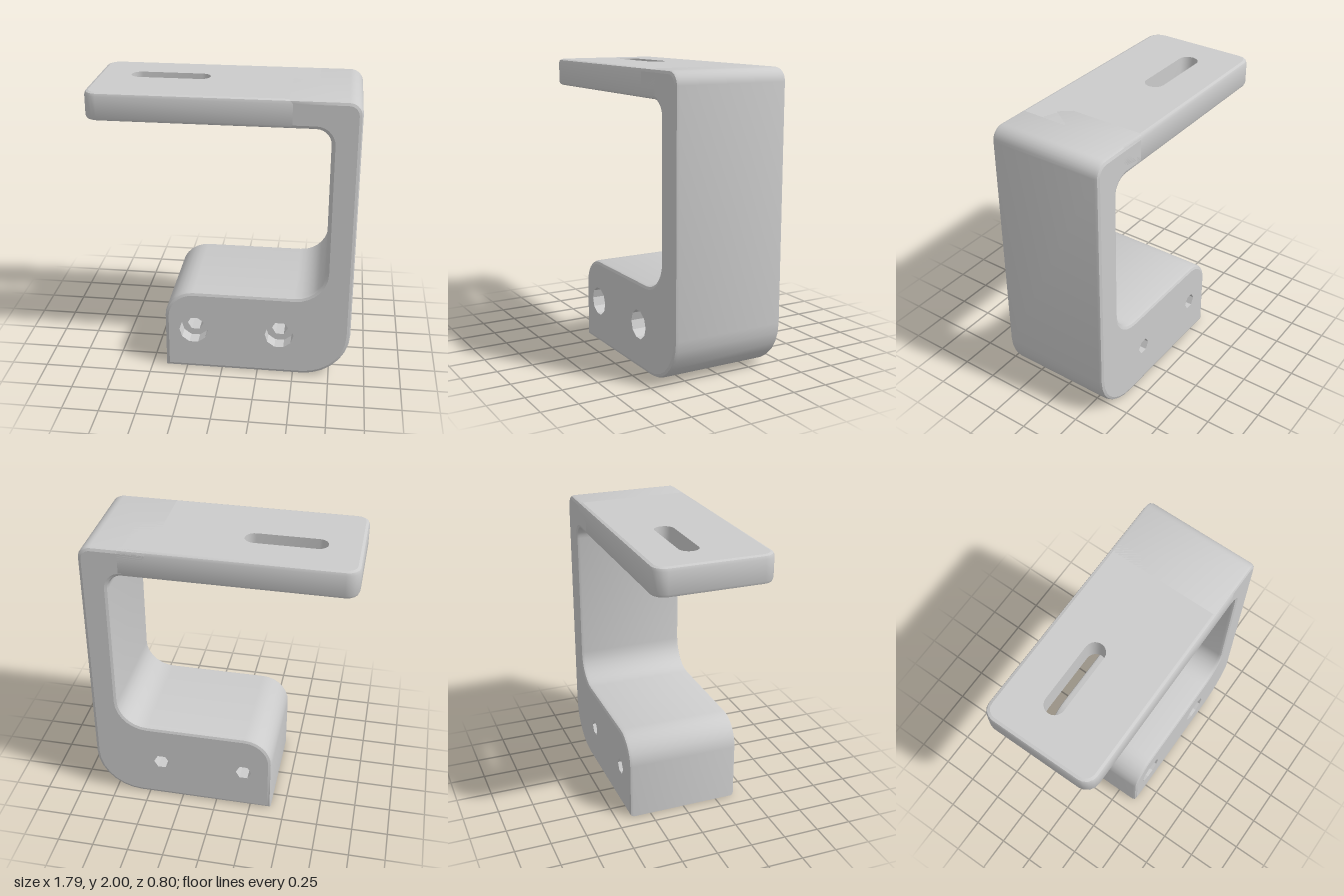
import * as THREE from 'three';
import { toCreasedNormals } from 'three/addons/utils/BufferGeometryUtils.js';

const B = 0.025; // edge bevel
const mat = new THREE.MeshStandardMaterial({ color: 0xcccccc, side: THREE.DoubleSide });

// Polygon with rounded right-angle corners, given as [x, y, radius]
function rounded(corners, steps = 7) {
  const out = [];
  corners.forEach(([x, y, r], i) => {
    const p = new THREE.Vector2(x, y);
    if (!r) return out.push(p);
    const n = corners.length;
    const a = new THREE.Vector2(...corners[(i + n - 1) % n]).sub(p).normalize();
    const c = new THREE.Vector2(...corners[(i + 1) % n]).sub(p).normalize();
    for (let k = 0; k <= steps; k++) {
      const t = (k / steps) * Math.PI / 2;
      out.push(p.clone().addScaledVector(a, r * (1 - Math.sin(t))).addScaledVector(c, r * (1 - Math.cos(t))));
    }
  });
  return out;
}

function circle(cx, cy, r, sides) {
  return Array.from({ length: sides }, (_, i) => {
    const t = (i / sides) * Math.PI * 2;
    return new THREE.Vector2(cx + r * Math.cos(t), cy + r * Math.sin(t));
  });
}

// Extruded wall centred on z = 0, without its end caps; drop() removes further triangles
function wall(pts, length, bevel = 0, drop = () => false) {
  const geo = new THREE.ExtrudeGeometry(new THREE.Shape(pts), {
    depth: length - 2 * bevel, bevelEnabled: bevel > 0,
    bevelSize: bevel, bevelThickness: bevel, bevelSegments: 2,
  }).translate(0, 0, bevel - length / 2);
  const pos = geo.attributes.position, kept = [];
  for (let i = 0; i < pos.count; i += 3) {
    const tri = [0, 1, 2].map((k) => new THREE.Vector3().fromBufferAttribute(pos, i + k));
    const cap = [1, -1].some((s) => tri.every((v) => Math.abs(v.z - s * length / 2) < 1e-4));
    if (!cap && !tri.every(drop)) tri.forEach((v) => kept.push(v.x, v.y, v.z));
  }
  const open = new THREE.BufferGeometry();
  open.setAttribute('position', new THREE.Float32BufferAttribute(kept, 3));
  return toCreasedNormals(open, 0.6);
}

// Flat face with holes
function face(pts, holes = []) {
  const shape = new THREE.Shape(pts);
  shape.holes = holes.map((h) => new THREE.Path(h));
  return new THREE.ShapeGeometry(shape);
}

export function createModel() {
  const model = new THREE.Group();
  const add = (name, geo, x = 0, y = 0, z = 0) => {
    const mesh = new THREE.Mesh(geo, mat);
    mesh.name = name;
    mesh.position.set(x, y, z);
    model.add(mesh);
  };
  const lay = (geo) => geo.rotateX(-Math.PI / 2); // shape y becomes -z

  // Base and column: one bent profile, open underneath for the bottom holes
  const profile = rounded([
    [-0.4 + B, B, 0], [0.89 - B, B, 0.33 - B], [0.89 - B, 2 - B, 0.09 - B],
    [0.45, 2 - B, 0], [0.45, 1.81 + B, 0], [0.7 + B, 1.81 + B, 0.1 + B],
    [0.7 + B, 0.6 - B, 0.2 + B], [-0.4 + B, 0.6 - B, 0.2 - B],
  ]);
  add('baseAndColumn', wall(profile, 0.8, B, (v) => Math.abs(v.y) < 1e-4));

  // Front and back faces with counterbored screw holes
  const xs = [-0.2, 0.4], bore = 0.1, pin = 0.056, boreDepth = 0.1;
  add('frontFace', face(profile, xs.map((x) => circle(x, 0.305, bore, 10))), 0, 0, 0.4);
  add('backFace', face(profile, xs.map((x) => circle(x, 0.305, pin, 6))).scale(1, 1, 1), 0, 0, -0.4);
  for (const x of xs) {
    add('counterbore', wall(circle(x, 0.305, bore, 10), boreDepth), 0, 0, 0.4 - boreDepth / 2);
    add('counterboreFloor', face(circle(x, 0.305, bore, 10), [circle(x, 0.305, pin, 6)]), 0, 0, 0.4 - boreDepth);
    add('screwHole', wall(circle(x, 0.305, pin, 6), 0.8 - boreDepth), 0, 0, -boreDepth / 2);
  }

  // Underside with two blind holes
  const zs = [-0.2, 0.2], holeDepth = 0.4, h = 0.4 - B;
  const x1 = 0.56;
  const bottom = rounded([[-0.4, -h, 0], [x1, -h, 0], [x1, h, 0], [-0.4, h, 0]]);
  add('underside', lay(face(bottom, zs.map((z) => circle(0.1, z, 0.08, 12)))));
  for (const z of zs) {
    add('bottomHole', lay(wall(circle(0.1, z, 0.08, 12), holeDepth)), 0, holeDepth / 2, 0);
    add('bottomHoleEnd', lay(face(circle(0.1, z, 0.08, 12))), 0, holeDepth, 0);
  }

  // Top arm with a long slot
  const armHeight = 0.19, r = 0.09 - B;
  const arm = rounded([[-0.9 + B, -h, r], [0.6, -h, 0], [0.6, h, 0], [-0.9 + B, h, r]], 4);
  const slot = rounded([
    [-0.67, 0, 0.066], [-0.13, 0, 0.066], [-0.13, 0.134, 0.066], [-0.67, 0.134, 0.066],
  ], 5);
  add('arm', lay(wall(arm, armHeight, B)), 0, 2 - armHeight / 2, 0);
  add('armTop', lay(face(arm, [slot])), 0, 2, 0);
  add('armUnderside', lay(face(arm, [slot])), 0, 2 - armHeight, 0);
  add('slotWall', lay(wall(slot, armHeight)), 0, 2 - armHeight / 2, 0);
  return model;
}
